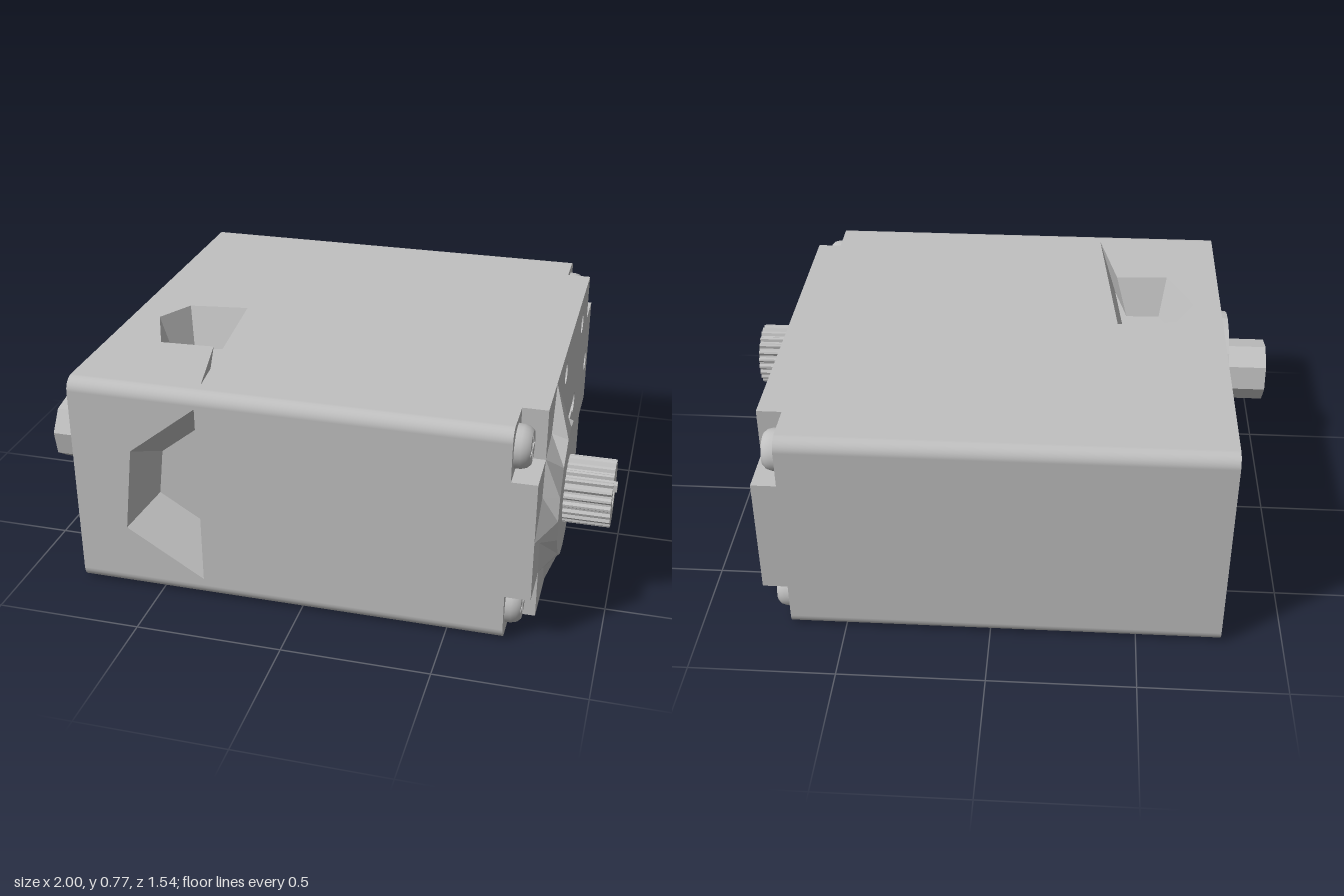
import * as THREE from 'three';

const X0 = -0.79, X1 = 0.69, X2 = 0.775;   // case back, case front, cover plate
const H = 0.775, D = 0.772, R = 0.045;     // height, half depth, edge radius
const HUB_Y = 0.39, HUB_Z = 0.39;

export function createModel() {
  const grey = new THREE.MeshStandardMaterial({ color: 0xc0c0c0, side: THREE.DoubleSide });
  grey.name = 'caseGrey';
  const model = new THREE.Group();
  model.name = 'servoMotor';

  const group = (name, parent = model) => {
    const g = new THREE.Group();
    g.name = name;
    parent.add(g);
    return g;
  };
  const add = (name, geo, parent = model, z = 0) => {
    const m = new THREE.Mesh(geo, grey);
    m.name = name;
    m.position.z = z;
    parent.add(m);
    return m;
  };
  const poly = pts => new THREE.Shape(pts.map(p => new THREE.Vector2(...p)));
  const circle = (x, y, r, n = 20, a0 = 0) => Array.from({ length: n }, (_, i) => {
    const a = a0 + i / n * Math.PI * 2;
    return [x + r * Math.cos(a), y + r * Math.sin(a)];
  });
  const rect = (x0, y0, x1, y1) => [[x0, y0], [x1, y0], [x1, y1], [x0, y1]];

  // Flat-shaded band between two matching loops at heights za and zb
  const band = (a, b, za, zb) => {
    const v = [];
    a.forEach((p, i) => {
      const j = (i + 1) % a.length;
      v.push(...p, za, ...b[i], zb, ...b[j], zb, ...p, za, ...b[j], zb, ...a[j], za);
    });
    const g = new THREE.BufferGeometry();
    g.setAttribute('position', new THREE.Float32BufferAttribute(v, 3));
    g.computeVertexNormals();
    return g;
  };

  // A flat face with sunken pits; each pit is {loop, center, scale, depth}
  const pittedFace = (name, outline, pits, parent, z) => {
    const face = poly(outline);
    pits.forEach(({ loop, center = [0, 0], scale = 1, depth }) => {
      face.holes.push(poly(loop));
      const floor = loop.map(p => p.map((c, k) => center[k] + (c - center[k]) * scale));
      add(name + 'PitWall', band(loop, floor, z, z - depth), parent);
      add(name + 'PitFloor', new THREE.ShapeGeometry(poly(floor)), parent, z - depth);
    });
    add(name, new THREE.ShapeGeometry(face), parent, z);
  };

  // Rounded outline of the case ends
  const endLoop = [];
  [[1, 1], [-1, 1], [-1, -1], [1, -1]].forEach(([sx, sy], q) => {
    for (let i = 0; i <= 6; i++) {
      const a = (q + i / 6) * Math.PI / 2;
      endLoop.push([sx * (D - R) + R * Math.cos(a), (sy > 0 ? H - R : R) + R * Math.sin(a)]);
    }
  });

  // Long case walls, with broken openings in the front, top and bottom
  const walls = group('caseWalls');
  pittedFace('frontWall', rect(X0, R, X1, H - R), [{
    loop: [[-0.345, 0.07], [-0.345, 0.72], [-0.58, 0.535], [-0.615, 0.235]],
    center: [-0.47, 0.38], scale: 0.55, depth: 0.15,
  }], walls, D);
  const back = group('back', walls);
  back.rotation.y = Math.PI;
  pittedFace('backWall', rect(-X1, R, -X0, H - R), [], back, D);
  const top = group('top', walls);
  top.rotation.x = -Math.PI / 2;
  pittedFace('topWall', rect(X0, -D + R, X1, D - R), [{
    loop: [[-0.69, -0.2], [-0.62, -0.07], [-0.41, -0.04], [-0.345, -0.7], [-0.41, -0.4], [-0.6, -0.41]],
    center: [-0.53, -0.25], scale: 0.65, depth: 0.14,
  }], top, H);
  const bottom = group('bottom', walls);
  bottom.rotation.x = Math.PI / 2;
  pittedFace('bottomWall', rect(X0, -D + R, X1, D - R), [{
    loop: [[-0.67, 0.65], [-0.51, 0.09], [-0.73, 0.2]],
    center: [-0.64, 0.28], scale: 0.5, depth: 0.14,
  }], bottom, 0);

  // Rounded long edges
  for (let q = 0; q < 4; q++) {
    const g = new THREE.CylinderGeometry(R, R, X1 - X0, 6, 1, true, q * Math.PI / 2, Math.PI / 2);
    g.rotateZ(Math.PI / 2);
    const up = q < 2, fore = q === 0 || q === 3;
    g.translate((X0 + X1) / 2, up ? H - R : R, fore ? D - R : R - D);
    add('roundedEdge', g, walls);
  }

  // Local frames for the two ends: z points outward
  const right = group('outputEnd'), left = group('rearEnd');
  right.rotation.y = Math.PI / 2;    // local x = -z
  left.rotation.y = -Math.PI / 2;    // local x = z

  // Rear end with blind screw holes
  const rearHoles = [];
  for (const z of [-0.69, -0.09, 0.68]) for (const y of [0.085, 0.69])
    rearHoles.push({ loop: circle(z, y, 0.037), depth: 0.1 });
  pittedFace('rearWall', endLoop, rearHoles, left, -X0);
  pittedFace('innerEndWall', endLoop, [], right, X1);

  // Cover plate with notched corners, holes and a keyhole slot
  const n = 0.6, nb = 0.175, nt = H - 0.175;
  const plate = poly([[-n, 0], [n, 0], [n, nb], [D, nb], [D, nt], [n, nt],
    [n, H], [-n, H], [-n, nt], [-D, nt], [-D, nb], [-n, nb]]);
  [[-0.1, 0.1], [-0.1, 0.68], [0.41, 0.12], [0.41, 0.66], [0.67, 0.39]]
    .forEach(([x, y]) => plate.holes.push(poly(circle(x, y, 0.04))));
  const key = [[-0.19, 0.41], [-0.19, 0.37]];
  for (let i = 0; i <= 14; i++) {
    const a = Math.PI + 0.52 + i / 14 * (Math.PI * 2 - 1.04);
    key.push([0.27 + 0.04 * Math.cos(a), 0.39 + 0.04 * Math.sin(a)]);
  }
  plate.holes.push(poly(key));
  add('coverPlate', new THREE.ExtrudeGeometry(plate, { depth: X2 - X1, bevelEnabled: false }), right, X1);

  // Cross-head screws in the notches
  const dome = new THREE.LatheGeometry([[0.072, 0], [0.071, 0.02], [0.066, 0.038], [0.055, 0.05]]
    .map(p => new THREE.Vector2(...p)), 24);
  dome.rotateX(Math.PI / 2);
  const w = 0.01, l = 0.046;
  const cross = [[l, -w], [l, w], [w, w], [w, l], [-w, l], [-w, w],
    [-l, w], [-l, -w], [-w, -w], [-w, -l], [w, -l], [w, -w]];
  for (const x of [-0.677, 0.677]) for (const y of [0.1, 0.68]) {
    const screw = group('screw', right);
    screw.position.set(x, y, X1);
    screw.rotation.z = 0.1;
    add('screwDome', dome, screw);
    pittedFace('screwTop', circle(0, 0, 0.055, 24), [{ loop: cross, scale: 0.8, depth: 0.03 }], screw, 0.05);
  }

  // Hub collar: flat disc whose faceted skirt runs out into spikes
  const collar = (name, parent, u, rim, spikes, z0, z1) => {
    const ring = (sel) => spikes.map(([deg, r]) => {
      const a = deg * Math.PI / 180, s = sel ? r : rim;
      return [u + s * Math.cos(a), HUB_Y + s * Math.sin(a)];
    });
    add(name + 'Skirt', band(ring(true), ring(false), z0, z1), parent);
    add(name + 'Face', new THREE.ShapeGeometry(poly(ring(false))), parent, z1);
  };
  collar('outputCollar', right, -HUB_Z, 0.23, [
    [0, 0.24], [25, 0.24], [50, 0.25], [72, 0.25], [90, 0.38], [108, 0.25], [135, 0.3], [160, 0.25],
    [180, 0.38], [200, 0.25], [225, 0.3], [252, 0.25], [270, 0.38], [290, 0.25], [312, 0.39], [336, 0.24],
  ], X2, 0.83);
  const rear = [];
  for (let d = 0; d < 360; d += 15) rear.push([d, d === 150 || d === 210 ? 0.555 : 0.226]);
  collar('rearCollar', left, HUB_Z, 0.225, rear, -X0, 0.845);

  // Splined output shaft with a bore
  const teeth = [];
  for (let i = 0; i < 96; i++) {
    const r = i % 4 < 2 ? 0.115 : 0.106, a = i / 96 * Math.PI * 2;
    teeth.push([r * Math.cos(a) - HUB_Z, r * Math.sin(a) + HUB_Y]);
  }
  const spline = poly(teeth);
  spline.holes.push(poly(circle(-HUB_Z, HUB_Y, 0.052)));
  add('splinedShaft', new THREE.ExtrudeGeometry(spline, { depth: 0.157, bevelEnabled: false }), right, 0.83);
  const nub = new THREE.BoxGeometry(0.03, 0.025, 0.03);
  nub.translate(-0.45, 0.45, 0);
  add('shaftNub', nub, right, 0.985);

  // Faceted rear shaft with a bore
  const stub = poly(circle(HUB_Z, HUB_Y, 0.117, 8, 0.2));
  stub.holes.push(poly(circle(HUB_Z, HUB_Y, 0.052)));
  add('rearShaft', new THREE.ExtrudeGeometry(stub, { depth: 0.155, bevelEnabled: false }), left, 0.845);

  return model;
}
